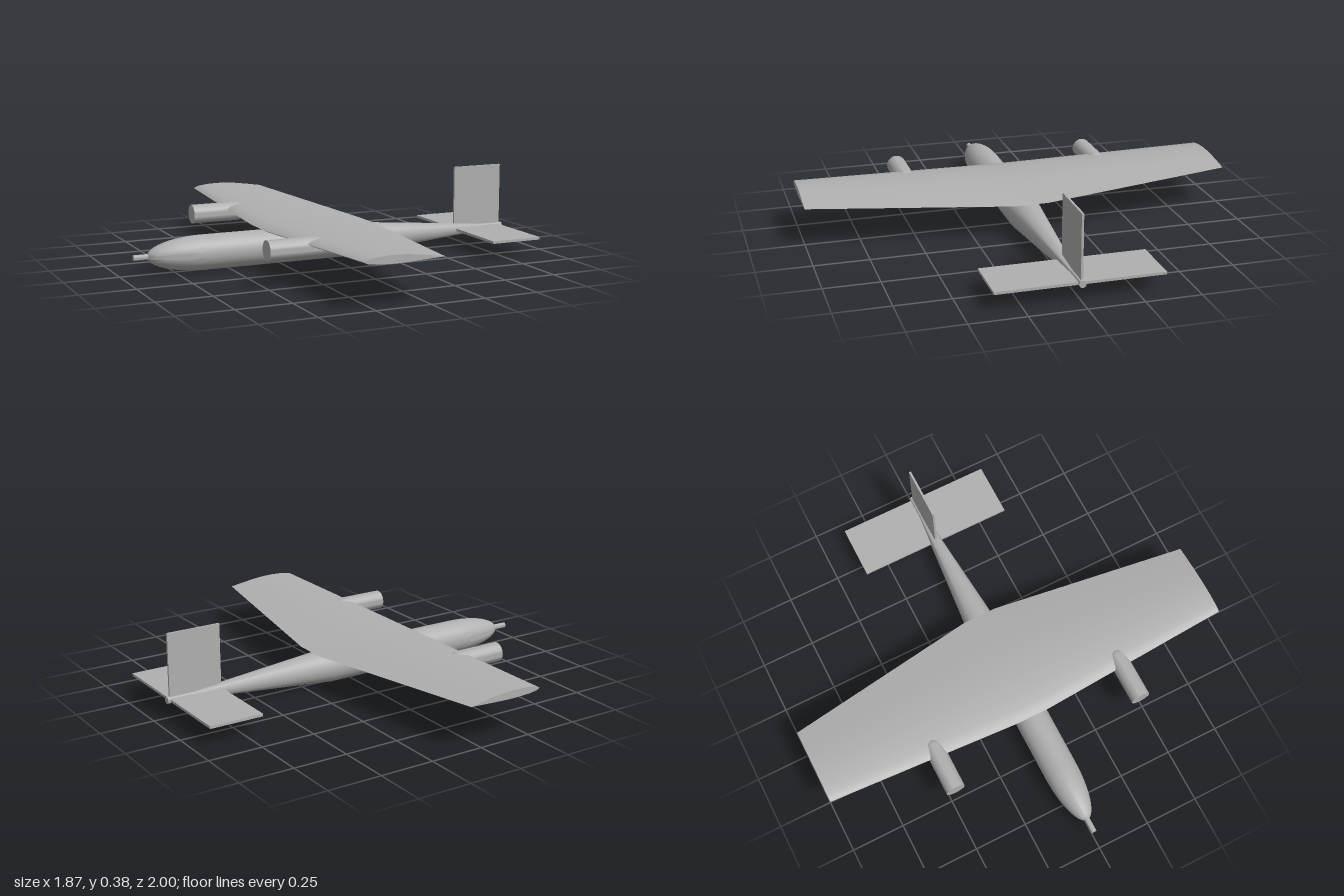
import * as THREE from 'three';
import { toCreasedNormals } from 'three/addons/utils/BufferGeometryUtils.js';

const grey = new THREE.MeshStandardMaterial({ color: 0xb0b0b0 });
grey.name = 'airframe grey';

// Body of revolution along x from [x, radius] pairs
function turned(name, profile, y, z, segments) {
  const pts = profile.map(([x, r]) => new THREE.Vector2(r, x));
  const geo = new THREE.LatheGeometry(pts, segments).rotateZ(-Math.PI / 2);
  const mesh = new THREE.Mesh(toCreasedNormals(geo, 0.6), grey);
  mesh.name = name;
  mesh.position.set(0, y, z);
  return mesh;
}

function plate(name, x0, x1, y0, y1, depth) {
  const mesh = new THREE.Mesh(new THREE.BoxGeometry(x1 - x0, y1 - y0, depth), grey);
  mesh.name = name;
  mesh.position.set((x0 + x1) / 2, (y0 + y1) / 2, 0);
  return mesh;
}

// One-piece wing: aerofoil loops lofted from tip to tip with dihedral
function wing() {
  // Chord fraction and height fraction: leading edge, top, trailing edge, bottom
  const foil = [[0, 0.45], [0.03, 0.66], [0.1, 0.82], [0.2, 0.94], [0.34, 1], [0.5, 0.95],
    [0.65, 0.8], [0.82, 0.55], [1, 0.27], [0.8, 0.16], [0.55, 0.04], [0.35, 0], [0.15, 0.08], [0.04, 0.24]];
  // z, leading x, trailing x, bottom y, top y
  const half = [[0.08, -0.352, 0.203, 0.147, 0.2], [1, -0.303, 0.06, 0.184, 0.22]];
  const [inner, tip] = half;
  const sections = [[-tip[0], ...tip.slice(1)], [-inner[0], ...inner.slice(1)], inner, tip];
  const n = foil.length, pos = [], index = [];
  for (const [z, x0, x1, y0, y1] of sections) {
    for (const [u, v] of foil) pos.push(x0 + (x1 - x0) * u, y0 + (y1 - y0) * v, z);
  }
  for (let k = 0; k < sections.length - 1; k++) {
    for (let i = 0; i < n; i++) {
      const j = (i + 1) % n, a = k * n + i, b = k * n + j;
      index.push(a, a + n, b, b, a + n, b + n);
    }
  }
  // Flat tip caps
  const last = (sections.length - 1) * n;
  for (let i = 1; i < n - 1; i++) index.push(0, i, i + 1, last, last + i + 1, last + i);
  const geo = new THREE.BufferGeometry();
  geo.setAttribute('position', new THREE.Float32BufferAttribute(pos, 3));
  geo.setIndex(index);
  const mesh = new THREE.Mesh(toCreasedNormals(geo, 0.5), grey);
  mesh.name = 'wing';
  return mesh;
}

export function createModel() {
  const model = new THREE.Group();
  model.name = 'aeroplane';

  // Fuselage: elliptical nose, straight barrel, long tail cone
  const body = [[-0.875, 0]];
  for (let i = 1; i <= 12; i++) {
    const a = (i / 12) * Math.PI / 2;
    body.push([-0.615 - 0.26 * Math.cos(a), 0.079 * Math.sin(a)]);
  }
  body.push([0.11, 0.079], [0.85, 0.014], [0.85, 0]);
  model.add(turned('fuselage', body, 0.08, 0, 48));
  model.add(turned('noseProbe', [[-0.937, 0], [-0.937, 0.013], [-0.85, 0.013]], 0.08, 0, 24));
  model.add(turned('tailStub', [[0.8, 0.016], [0.935, 0.016], [0.935, 0]], 0.082, 0, 24));

  model.add(wing());

  // Engine nacelles with rounded rear ends under the wing
  const nacelle = [[-0.5, 0], [-0.5, 0.045], [-0.275, 0.045]];
  for (let i = 1; i <= 8; i++) {
    const a = (i / 8) * Math.PI / 2;
    nacelle.push([-0.275 + 0.045 * Math.sin(a), 0.045 * Math.cos(a)]);
  }
  for (const [side, z] of [['left', 0.475], ['right', -0.475]]) {
    model.add(turned(side + 'Engine', nacelle, 0.165, z, 32));
  }

  // Tail surfaces
  model.add(plate('tailplane', 0.67, 0.922, 0.076, 0.088, 0.744));
  model.add(plate('fin', 0.67, 0.922, 0.08, 0.385, 0.01));
  return model;
}
